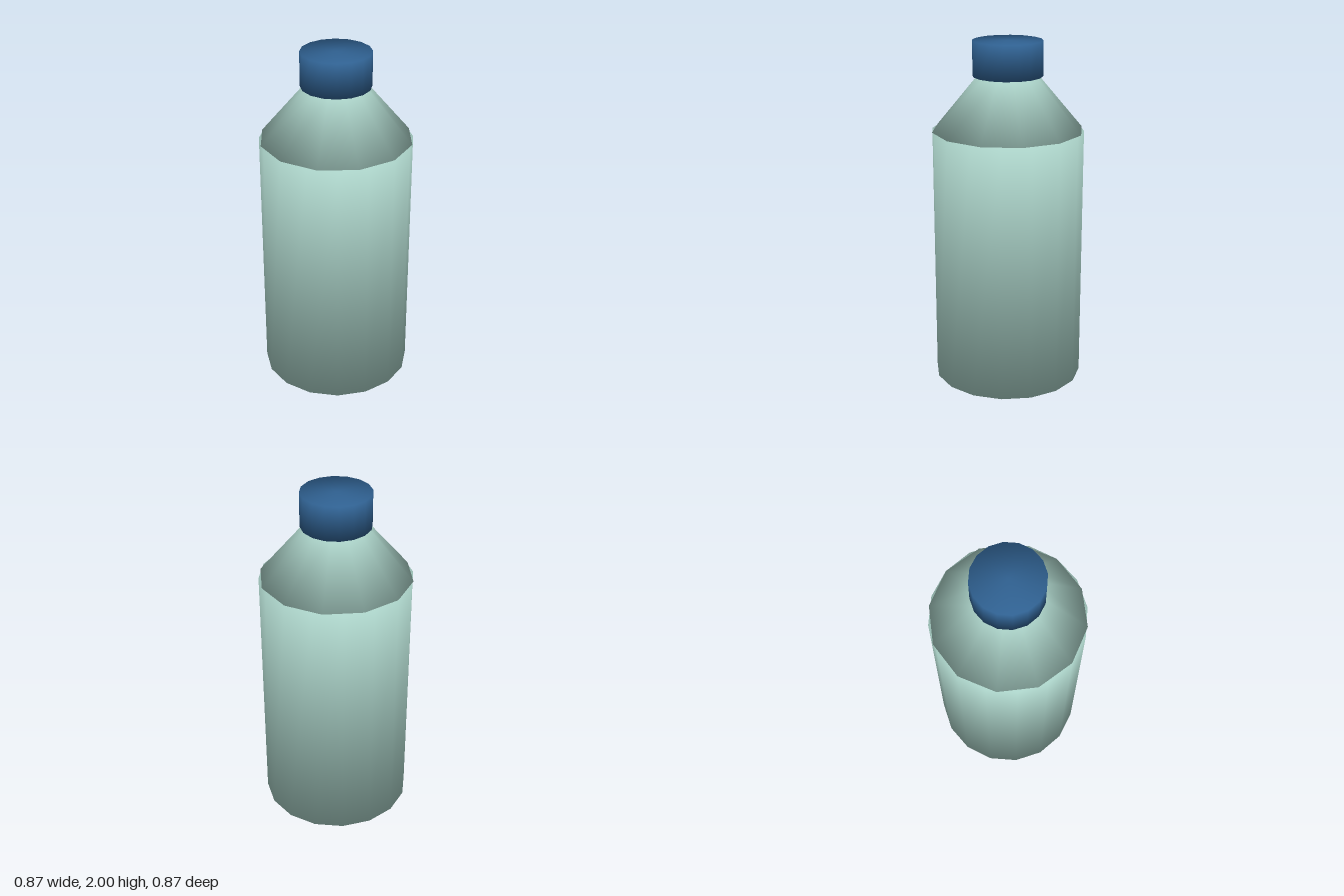
import * as THREE from 'three';
import { mergeVertices } from 'three/addons/utils/BufferGeometryUtils.js';

// Closed frustum whose normals are blended across the rims, so sides and ends shade as one soft surface
function softFrustum(bottomRadius, topRadius, y0, y1, sides) {
  const h = y1 - y0;
  let geo = new THREE.CylinderGeometry(topRadius, bottomRadius, h, sides);
  geo.deleteAttribute('normal');
  geo.deleteAttribute('uv');
  geo.clearGroups();
  geo = mergeVertices(geo);
  const pos = geo.attributes.position;
  const normals = new Float32Array(pos.count * 3);
  const slope = Math.hypot(h, bottomRadius - topRadius);
  const n = new THREE.Vector3();
  for (let i = 0; i < pos.count; i++) {
    const x = pos.getX(i), z = pos.getZ(i), r = Math.hypot(x, z);
    const end = Math.sign(pos.getY(i));
    if (r < 1e-4) n.set(0, end, 0);
    else n.set((x / r) * h / slope, (bottomRadius - topRadius) / slope + end, (z / r) * h / slope).normalize();
    n.toArray(normals, i * 3);
  }
  geo.setAttribute('normal', new THREE.BufferAttribute(normals, 3));
  geo.translate(0, (y0 + y1) / 2, 0);
  return geo;
}

export function createModel() {
  const bottleGreen = new THREE.MeshStandardMaterial({ color: 0xa9d0c6 });
  bottleGreen.name = 'paleGreen';
  const capBlue = new THREE.MeshStandardMaterial({ color: 0x2f6090 });
  capBlue.name = 'deepBlue';

  const model = new THREE.Group();
  model.name = 'bottle';
  const add = (name, geometry, material) => {
    const mesh = new THREE.Mesh(geometry, material);
    mesh.name = name;
    model.add(mesh);
  };

  // Sixteen-sided body, twelve-sided sloping shoulder, sixteen-sided cap
  add('body', softFrustum(0.435, 0.435, 0, 1.49, 16), bottleGreen);
  add('shoulder', softFrustum(0.435, 0.174, 1.49, 1.802, 12), bottleGreen);
  add('cap', softFrustum(0.2, 0.2, 1.8, 2, 16), capBlue);
  return model;
}
